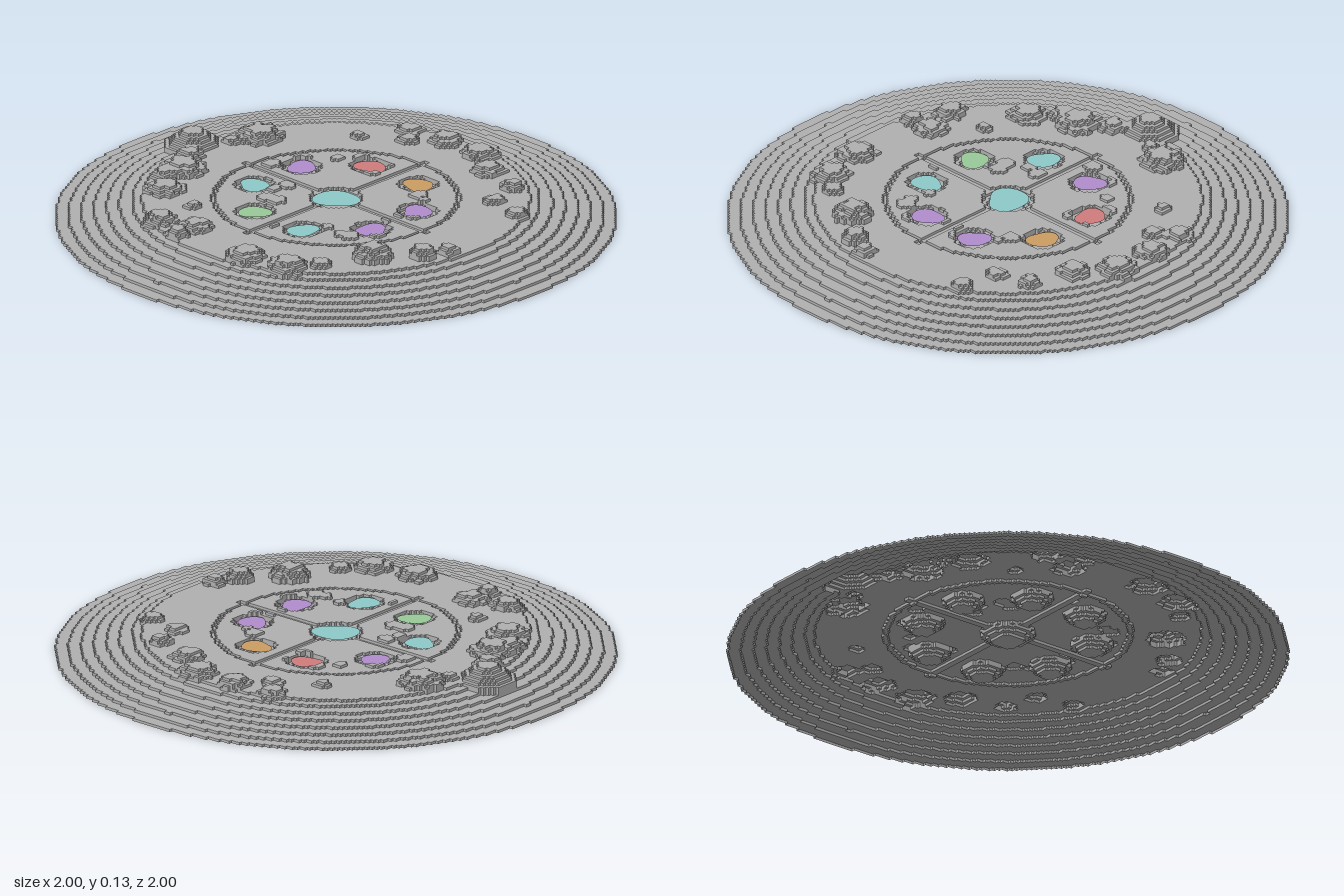
import * as THREE from 'three';

const CELL = 0.0125, STEP = 0.01, N = 160, PLATEAU = 0.08;

// Ponds: x, z, radius, colour name, wobble phase
const PONDS = [
  [0, 0, 0.078, 'aqua', 0.4],
  [-0.12, -0.295, 0.055, 'coral', 1.2],
  [0.12, -0.295, 0.055, 'amber', 2.1],
  [0.29, -0.12, 0.055, 'violet', 3.0],
  [0.29, 0.115, 0.055, 'violet', 4.2],
  [0.12, 0.29, 0.055, 'aqua', 5.0],
  [-0.12, 0.29, 0.055, 'green', 0.1],
  [-0.295, 0.115, 0.055, 'aqua', 2.6],
  [-0.29, -0.12, 0.055, 'violet', 3.6],
];

// Rocky lumps around the plateau: x, z, radius, height
const LUMPS = [
  [-0.58, -0.2, 0.08, 0.04], [-0.56, 0.21, 0.08, 0.04], [-0.48, 0.38, 0.07, 0.03],
  [-0.63, 0.1, 0.05, 0.03], [-0.57, 0.29, 0.05, 0.03], [-0.16, 0.55, 0.06, 0.03],
  [-0.3, 0.59, 0.06, 0.03], [-0.16, 0.64, 0.04, 0.03], [0.15, 0.61, 0.07, 0.03],
  [0.32, 0.57, 0.07, 0.03], [0.48, 0.3, 0.07, 0.05], [0.6, 0.17, 0.05, 0.04],
  [0.64, 0.08, 0.04, 0.03], [0.57, -0.34, 0.04, 0.02], [0.43, -0.37, 0.04, 0.02],
  [0.39, -0.5, 0.04, 0.03], [0.22, -0.55, 0.06, 0.03], [0.09, -0.64, 0.07, 0.03],
  [-0.08, -0.64, 0.06, 0.03], [-0.18, -0.55, 0.04, 0.02], [-0.33, -0.45, 0.03, 0.02],
  [-0.24, -0.62, 0.05, 0.02], [-0.62, -0.1, 0.03, 0.02], [0.4, 0.48, 0.04, 0.02],
  [-0.3, 0.42, 0.03, 0.02],
];

function seeded(seed) {
  return () => (seed = (seed * 16807) % 2147483647) / 2147483647;
}

// Low tufts scattered between the ponds
const rand = seeded(41);
const TUFTS = [];
for (let i = 0; i < 28; i++) {
  const a = (i + rand()) / 28 * Math.PI * 2, r = 0.2 + rand() * 0.2;
  TUFTS.push([Math.cos(a) * r, Math.sin(a) * r, 0.018 + rand() * 0.018, 0.01]);
}

// Stepped ground height at a point, or null outside the disc
function height(x, z) {
  const r = Math.hypot(x, z);
  if (r > 0.9975) return null;
  let h = Math.min(PLATEAU, 0.22 * Math.max(0, 1.02 - r));
  if (r < 0.69) h = PLATEAU;
  // Square stepped mound at one side
  const m = Math.max(Math.abs(x + 0.715), Math.abs(z), (Math.abs(x + 0.715) + Math.abs(z)) * 0.72);
  if (m < 0.1) h = Math.max(h, 0.075 + 0.055 * Math.min(1, (0.1 - m) / 0.07));
  // Ring groove and crossing paths
  if (Math.abs(r - 0.435) < 0.008) h -= STEP;
  if (r < 0.46 && Math.min(Math.abs(x), Math.abs(z)) < 0.018) h -= STEP;
  let top = 0;
  for (const [lx, lz, lr, lh] of LUMPS) {
    const d = Math.hypot(x - lx, z - lz) / lr + 0.14 * Math.sin(x * 95 + lz * 9) * Math.sin(z * 88);
    if (d < 1) top = Math.max(top, lh * Math.min(1, 0.3 + 1.3 * (1 - d)));
  }
  for (const [lx, lz, lr, lh] of TUFTS)
    if (Math.hypot(x - lx, z - lz) < lr && Math.min(Math.abs(x), Math.abs(z)) > 0.03) top = Math.max(top, lh);
  h += top;
  // Basins under the ponds
  for (const [px, pz, pr] of PONDS) {
    const d = Math.hypot(x - px, z - pz) / (pr + 0.018);
    if (d < 1) h = PLATEAU - 0.012 - 0.03 * Math.min(1, 1.8 * (1 - d));
  }
  return Math.max(0, Math.round(h / STEP) * STEP);
}

function terrainGeometry() {
  const pos = [], nor = [], idx = [];
  const quad = (a, b, c, d, n) => {
    const k = pos.length / 3;
    pos.push(...a, ...b, ...c, ...d);
    for (let i = 0; i < 4; i++) nor.push(...n);
    idx.push(k, k + 1, k + 2, k, k + 2, k + 3);
  };
  const at = i => (i - N / 2) * CELL;
  const grid = [];
  for (let j = 0; j < N; j++) {
    grid.push([]);
    for (let i = 0; i < N; i++) grid[j].push(height(at(i + 0.5), at(j + 0.5)));
  }
  const get = (i, j) => grid[j]?.[i] ?? null;
  for (let j = 0; j <= N; j++) {
    const z0 = at(j), z1 = at(j + 1);
    // Level tops, merged along each row
    for (let i = 0; i < N;) {
      const h = get(i, j);
      let e = i + 1;
      while (e < N && get(e, j) === h) e++;
      if (h !== null) quad([at(i), h, z0], [at(i), h, z1], [at(e), h, z1], [at(e), h, z0], [0, 1, 0]);
      i = e;
    }
    // Risers between neighbouring cells
    for (let i = 0; i <= N; i++) {
      const x0 = at(i), x1 = at(i + 1), own = get(i, j), h = own ?? 0;
      const l = get(i - 1, j) ?? 0, b = get(i, j - 1) ?? 0;
      if (l > h) quad([x0, h, z1], [x0, h, z0], [x0, l, z0], [x0, l, z1], [1, 0, 0]);
      if (l < h) quad([x0, l, z0], [x0, l, z1], [x0, h, z1], [x0, h, z0], [-1, 0, 0]);
      if (b > h) quad([x0, h, z0], [x1, h, z0], [x1, b, z0], [x0, b, z0], [0, 0, 1]);
      if (b < h) quad([x1, b, z0], [x0, b, z0], [x0, h, z0], [x1, h, z0], [0, 0, -1]);
    }
  }
  const g = new THREE.BufferGeometry();
  g.setAttribute('position', new THREE.Float32BufferAttribute(pos, 3));
  g.setAttribute('normal', new THREE.Float32BufferAttribute(nor, 3));
  g.setIndex(idx);
  return g;
}

// Smooth irregular water surface
function pondGeometry(radius, phase) {
  const pts = [];
  for (let i = 0; i < 40; i++) {
    const a = i / 40 * Math.PI * 2;
    const r = radius * (1 + 0.11 * Math.sin(2 * a + phase) + 0.07 * Math.sin(3 * a + phase * 2));
    pts.push(new THREE.Vector2(Math.cos(a) * r, Math.sin(a) * r));
  }
  return new THREE.ShapeGeometry(new THREE.Shape(pts)).rotateX(-Math.PI / 2);
}

export function createModel() {
  const model = new THREE.Group();
  model.name = 'terracedIsland';
  const material = (name, color) => {
    const m = new THREE.MeshStandardMaterial({ color, side: THREE.DoubleSide });
    m.name = name;
    return m;
  };
  const stone = material('stone', 0xb0b0b0);
  const water = {
    aqua: material('aqua', 0x8ecaca),
    coral: material('coral', 0xd07c7c),
    amber: material('amber', 0xcc9c62),
    violet: material('violet', 0xb08ccc),
    green: material('green', 0x98ca98),
  };

  const terrain = new THREE.Mesh(terrainGeometry(), stone);
  terrain.name = 'terracedGround';
  model.add(terrain);

  PONDS.forEach(([x, z, r, color, phase], i) => {
    const pond = new THREE.Mesh(pondGeometry(r, phase), water[color]);
    pond.name = i ? `pond${i}` : 'centralPond';
    pond.position.set(x, PLATEAU - 0.004, z);
    model.add(pond);
  });
  return model;
}
